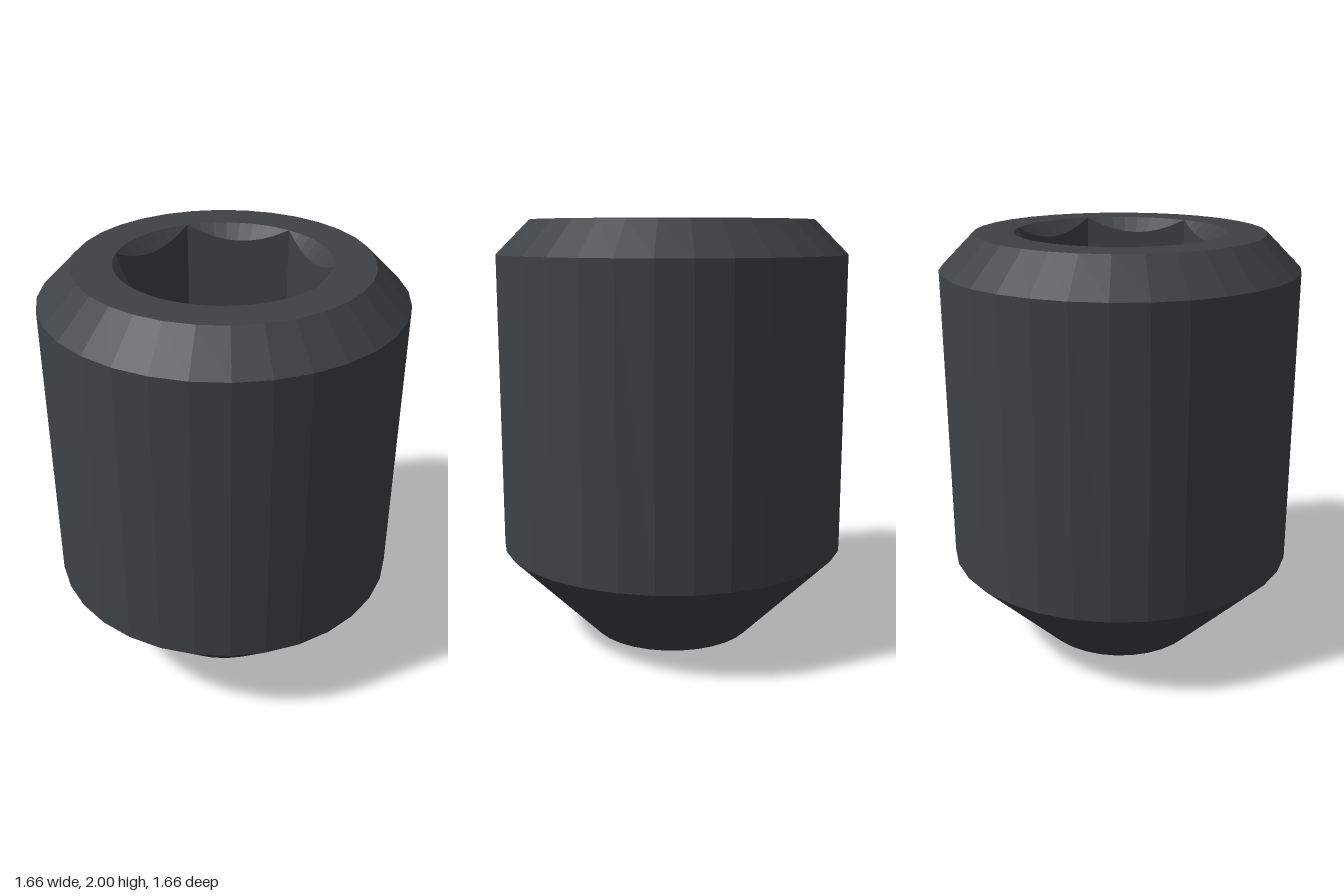
import * as THREE from 'three';

const SIDES = 32;          // facets around the body
const RIM = 0.67;          // outer radius of the flat top
const SOCKET = 0.487;      // socket corner radius
const HEIGHT = 2;
const FLOOR = 1.1;         // height of the socket floor
const STEPS = 48;          // points around the socket, 8 per flat

const steel = new THREE.MeshStandardMaterial({ color: 0x3f4245, flatShading: true });

function part(name, geometry) {
  const mesh = new THREE.Mesh(geometry, steel);
  mesh.name = name;
  return mesh;
}

// Loop of points around y, radius and height given by functions of the angle
function ring(radius, height) {
  return Array.from({ length: STEPS }, (_, i) => {
    const a = (i / STEPS) * Math.PI * 2;
    const r = radius(a);
    return [r * Math.cos(a), height(a), -r * Math.sin(a)];
  });
}

// Inward-facing band between a lower and an upper loop
function inwardBand(lower, upper) {
  const positions = [];
  for (let i = 0; i < STEPS; i++) {
    const j = (i + 1) % STEPS;
    positions.push(...lower[i], ...upper[j], ...lower[j]);
    positions.push(...lower[i], ...upper[i], ...upper[j]);
  }
  const geometry = new THREE.BufferGeometry();
  geometry.setAttribute('position', new THREE.Float32BufferAttribute(positions, 3));
  geometry.computeVertexNormals();
  return geometry;
}

export function createModel() {
  const group = new THREE.Group();
  group.name = 'setScrew';

  // Cupped point, cone, shank and top chamfer
  const profile = [
    [0, 0.225], [0.395, 0], [0.83, 0.44], [0.83, 1.84], [RIM, HEIGHT],
  ].map(([r, y]) => new THREE.Vector2(r, y));
  group.add(part('body', new THREE.LatheGeometry(profile, SIDES)));

  // Flat annular top around the socket
  const circle = (r, n) => Array.from({ length: n }, (_, i) => {
    const a = (i / n) * Math.PI * 2;
    return new THREE.Vector2(r * Math.cos(a), r * Math.sin(a));
  });
  const top = new THREE.Shape(circle(RIM, SIDES));
  top.holes.push(new THREE.Path(circle(SOCKET, STEPS)));
  group.add(part('topFace',
    new THREE.ShapeGeometry(top).rotateX(-Math.PI / 2).translate(0, HEIGHT, 0)));

  // Hexagon radius at an angle; a 45 degree countersink cuts its flats in arcs
  const sector = Math.PI / 3;
  const hex = (a) => SOCKET * Math.cos(sector / 2) / Math.cos((a % sector) - sector / 2);
  const rimLoop = ring(() => SOCKET, () => HEIGHT);
  const arcLoop = ring(hex, (a) => HEIGHT - (SOCKET - hex(a)));
  const floorLoop = ring(hex, () => FLOOR);
  group.add(part('socketCountersink', inwardBand(arcLoop, rimLoop)));
  group.add(part('socketWalls', inwardBand(floorLoop, arcLoop)));

  // Socket floor
  group.add(part('socketFloor',
    new THREE.CircleGeometry(SOCKET, 6).rotateX(-Math.PI / 2).translate(0, FLOOR, 0)));

  return group;
}
